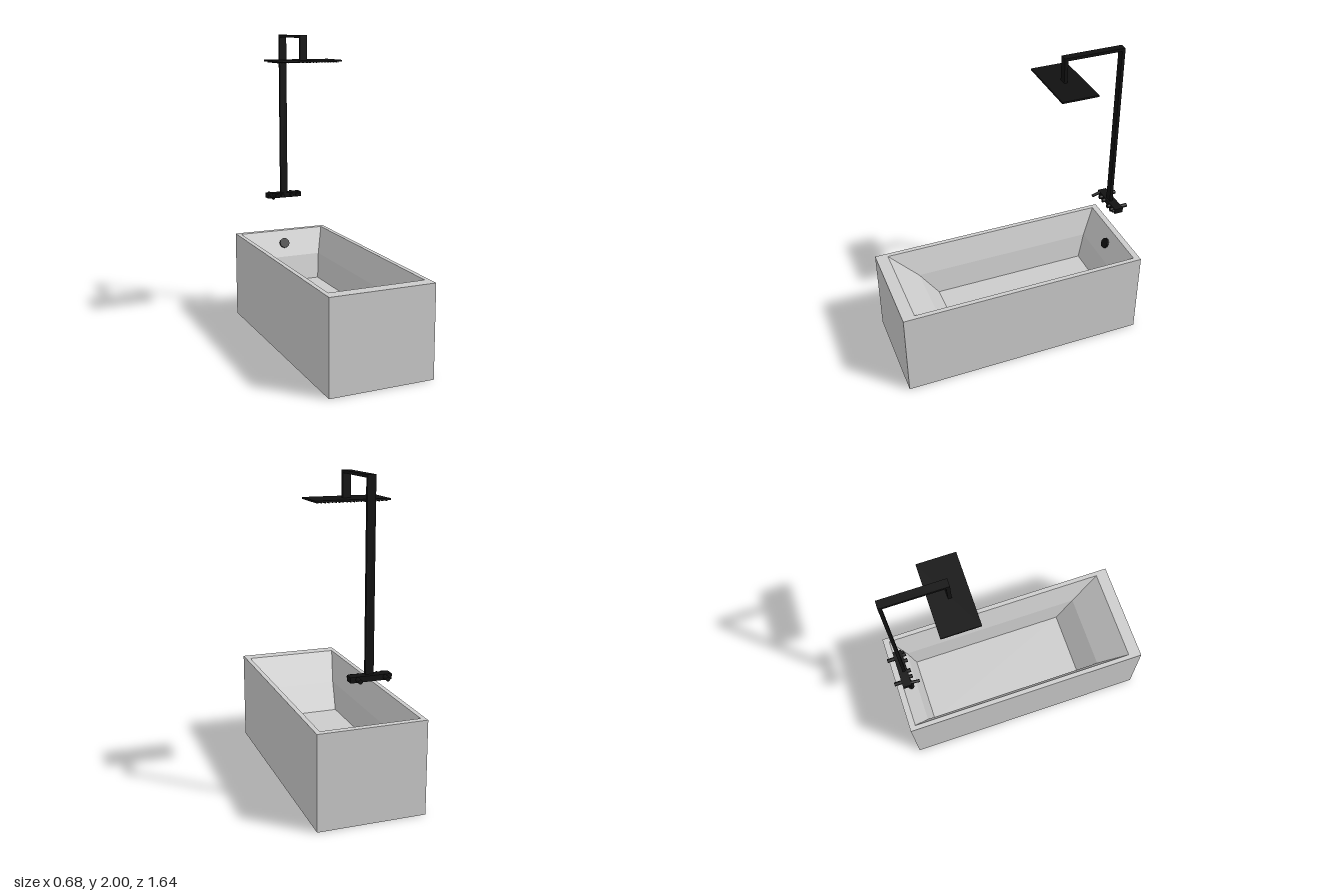
import * as THREE from 'three';
import { mergeGeometries } from 'three/addons/utils/BufferGeometryUtils.js';

const grey = new THREE.MeshStandardMaterial({ color: 0xcccccc, flatShading: true, side: THREE.DoubleSide });
const black = new THREE.MeshStandardMaterial({ color: 0x111111 });

function add(group, name, geometry, material = black) {
  const mesh = new THREE.Mesh(geometry, material);
  mesh.name = name;
  group.add(mesh);
  return mesh;
}

// Box given by its extents on each axis
function box(x0, x1, y0, y1, z0, z1) {
  return new THREE.BoxGeometry(x1 - x0, y1 - y0, z1 - z0)
    .translate((x0 + x1) / 2, (y0 + y1) / 2, (z0 + z1) / 2);
}

// Cylinder lying along z
function rodZ(r, x, y, z0, z1, sides = 20) {
  return new THREE.CylinderGeometry(r, r, z1 - z0, sides)
    .rotateX(Math.PI / 2).translate(x, y, (z0 + z1) / 2);
}

// Rectangular rings [halfWidth, y, backZ, frontZ] joined by quads, last ring closed
function loftRings(rings) {
  const pts = rings.map(([w, y, b, f]) => [[-w, y, b], [-w, y, f], [w, y, f], [w, y, b]]);
  const pos = [];
  const quad = (a, b, c, d) => pos.push(...a, ...b, ...c, ...a, ...c, ...d);
  for (let i = 0; i < pts.length - 1; i++) {
    for (let k = 0; k < 4; k++) {
      const n = (k + 1) % 4;
      quad(pts[i][k], pts[i][n], pts[i + 1][n], pts[i + 1][k]);
    }
  }
  quad(...pts[pts.length - 1]);
  const g = new THREE.BufferGeometry();
  g.setAttribute('position', new THREE.Float32BufferAttribute(pos, 3));
  g.computeVertexNormals();
  return g;
}

function makeBathtub() {
  const tub = new THREE.Group();
  tub.name = 'bathtub';
  // Outer skin open underneath, flat rim, two-stage basin and floor
  add(tub, 'tubShell', loftRings([
    [0.34, 0, -0.82, 0.82],
    [0.34, 0.595, -0.82, 0.82],
    [0.31, 0.595, -0.78, 0.74],
    [0.25, 0.42, -0.69, 0.55],
    [0.225, 0.25, -0.645, 0.425],
  ]), grey);
  // Overflow cap on the sloping back wall
  const cap = add(tub, 'overflowCap', new THREE.CylinderGeometry(0.035, 0.035, 0.02, 28));
  cap.position.set(0, 0.51, -0.733);
  cap.rotation.x = Math.PI / 2 - 0.47;
  return tub;
}

function makeShower() {
  const shower = new THREE.Group();
  shower.name = 'shower';
  add(shower, 'column', box(-0.025, 0.025, 0.87, 2, -0.746, -0.726));
  add(shower, 'arm', box(-0.025, 0.025, 1.982, 2, -0.726, -0.35));
  add(shower, 'dropPipe', box(-0.025, 0.025, 1.838, 1.982, -0.372, -0.35));
  add(shower, 'showerHead', box(-0.23, 0.23, 1.829, 1.84, -0.48, -0.245));

  // Grid of nozzles under the head
  const nozzles = [];
  for (let i = 0; i < 20; i++) {
    for (let j = 0; j < 10; j++) {
      nozzles.push(new THREE.CylinderGeometry(0.005, 0.004, 0.006, 8)
        .translate(-0.209 + i * 0.022, 1.826, -0.4615 + j * 0.022));
    }
  }
  add(shower, 'nozzles', mergeGeometries(nozzles));
  return shower;
}

function makeMixer() {
  const mixer = new THREE.Group();
  mixer.name = 'mixer';
  add(mixer, 'mixerBody', box(-0.125, 0.125, 0.852, 0.886, -0.773, -0.715));
  // Wall inlets
  for (const x of [-0.083, 0.083]) add(mixer, 'wallInlet', rodZ(0.013, x, 0.87, -0.82, -0.77));
  // Control knobs along the front
  for (const x of [-0.063, -0.022, 0.05, 0.092, 0.112]) {
    const last = x > 0.1;
    add(mixer, 'knob', rodZ(last ? 0.009 : 0.013, x, 0.869, -0.72, last ? -0.7 : -0.694));
  }
  // Short outlet tipped downwards
  const outlet = add(mixer, 'outlet', rodZ(0.01, 0, 0, 0, 0.06));
  outlet.position.set(-0.106, 0.878, -0.72);
  outlet.rotation.x = 0.28;
  return mixer;
}

export function createModel() {
  const model = new THREE.Group();
  model.name = 'bathtubWithShower';
  model.add(makeBathtub(), makeShower(), makeMixer());
  return model;
}
